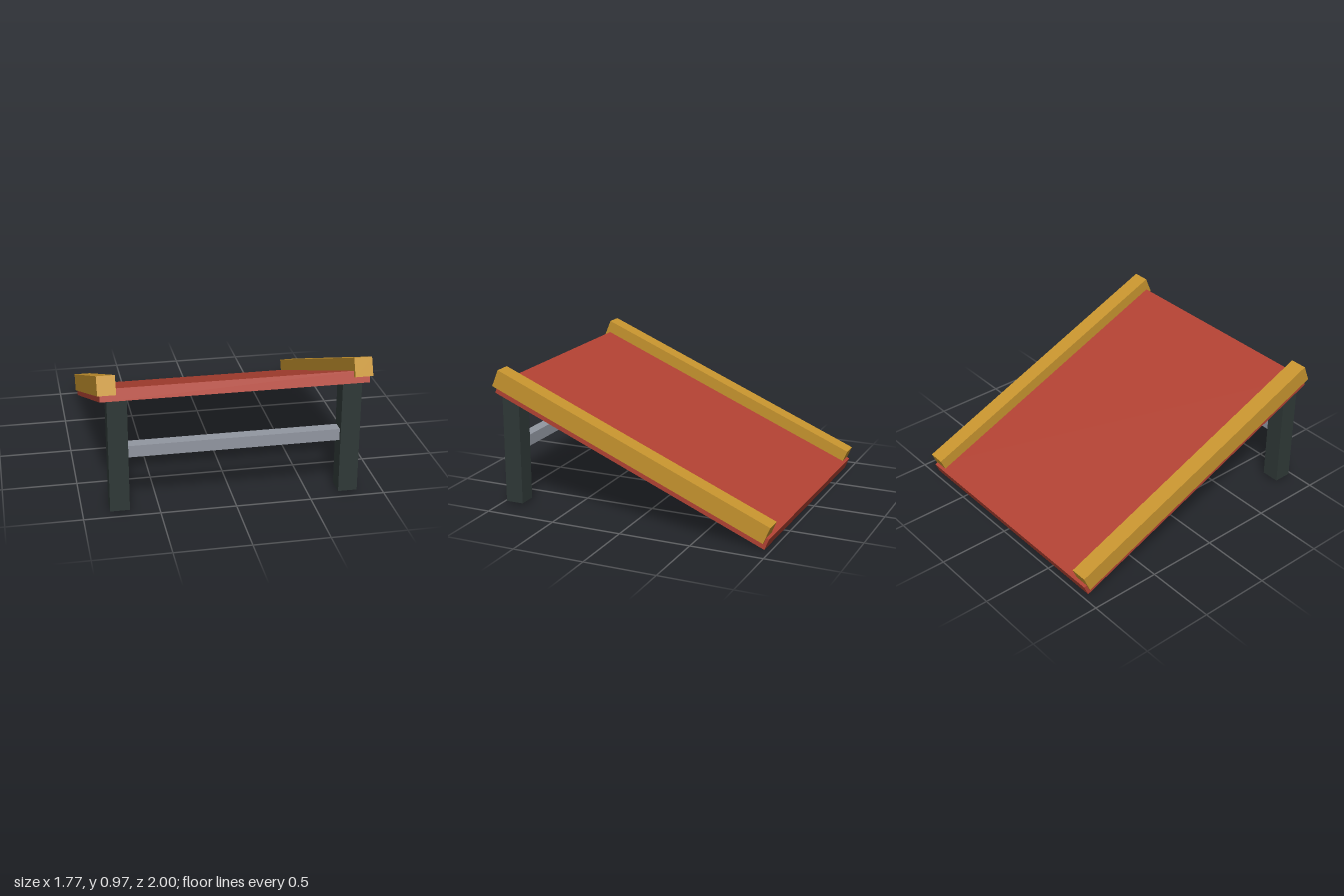
import * as THREE from 'three';

function mat(name, color) {
  const m = new THREE.MeshStandardMaterial({ color });
  m.name = name;
  return m;
}

export function createModel() {
  const group = new THREE.Group();
  group.name = 'ramp';
  const red = mat('red deck', 0xb24233);
  const yellow = mat('ochre rail', 0xc8952f);
  const dark = mat('dark leg', 0x2f3937);
  const grey = mat('grey metal', 0x9297a1);

  function box(name, material, size, pos, parent) {
    const mesh = new THREE.Mesh(new THREE.BoxGeometry(...size), material);
    mesh.name = name;
    mesh.position.set(...pos);
    parent.add(mesh);
  }

  // Sloping surface, high at the front and touching the ground at the back
  const slope = new THREE.Group();
  slope.name = 'slope';
  slope.position.y = 0.446;
  slope.rotation.x = -0.394;
  group.add(slope);
  box('deck', red, [1.736, 0.081, 2.105], [0, 0, 0], slope);

  for (const [side, s] of [['left', 1], ['right', -1]]) {
    // Rail sunk a little into the deck and overhanging its side
    box(side + 'Rail', yellow, [0.118, 0.125, 2.113], [s * 0.824, 0.0615, 0.026], slope);
    // Front leg
    box(side + 'Leg', dark, [0.128, 0.775, 0.126], [s * 0.76, 0.4125, 0.897], group);
  }

  // Brace between the legs
  box('crossBar', grey, [1.42, 0.08, 0.08], [0, 0.432, 0.897], group);
  return group;
}
